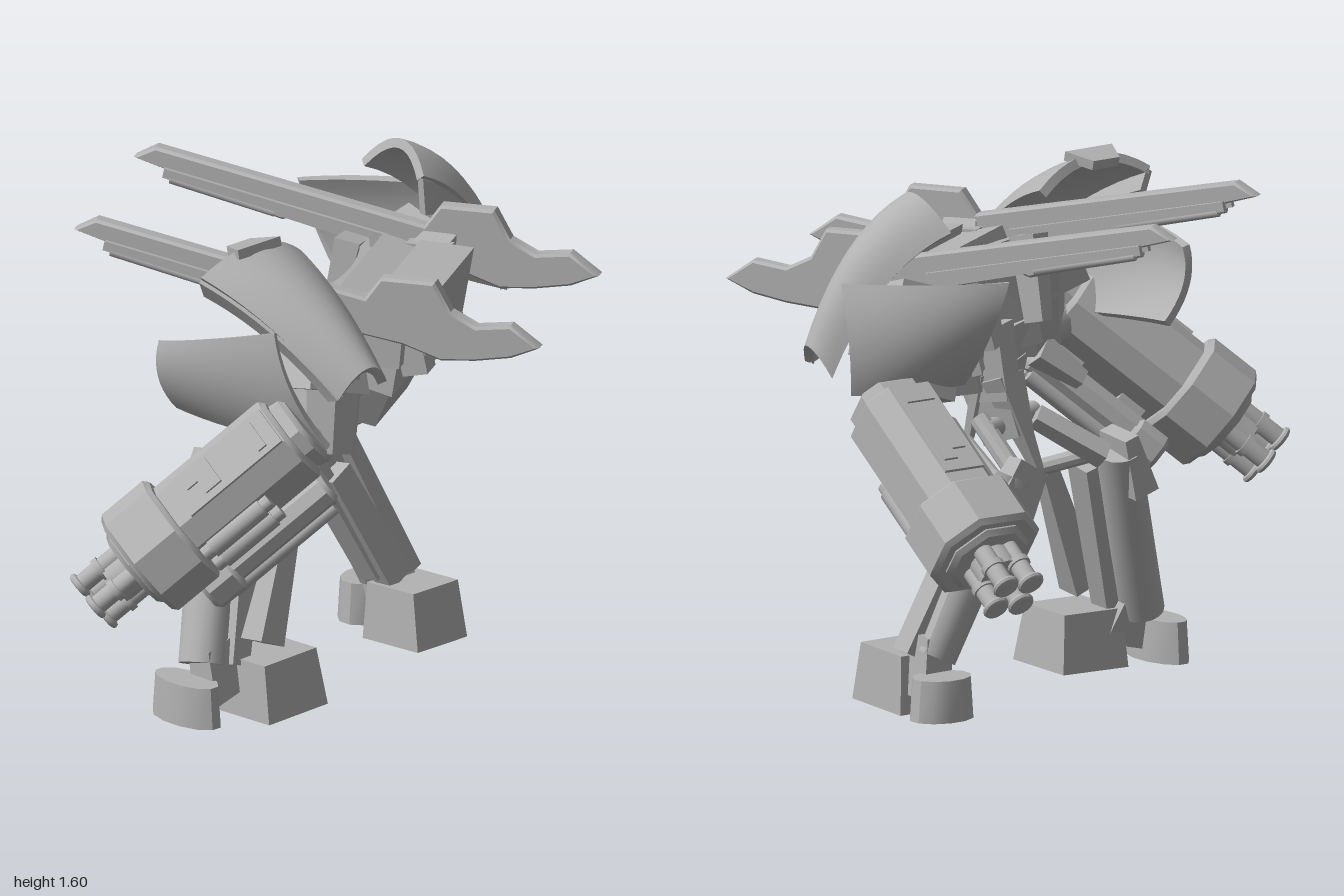
import * as THREE from 'three';
import { toCreasedNormals } from 'three/addons/utils/BufferGeometryUtils.js';

const grey = new THREE.MeshStandardMaterial({ color: 0xb2b2b2 });
grey.name = 'armourGrey';
const V = (a) => new THREE.Vector3(...a);

function add(parent, name, geo, pos = [0, 0, 0], rot = [0, 0, 0]) {
  const m = new THREE.Mesh(toCreasedNormals(geo, 0.6), grey);
  m.name = name;
  m.position.set(...pos);
  m.rotation.set(...rot);
  parent.add(m);
  return m;
}

// matrix whose main axis (y or z) runs along dir, turned towards a hint
function frame(dir, hint, axis, origin) {
  const d = dir.clone().normalize();
  const h = V(hint).addScaledVector(d, -V(hint).dot(d)).normalize();
  const m = axis === 'y'
    ? new THREE.Matrix4().makeBasis(d.clone().cross(h), d, h)
    : new THREE.Matrix4().makeBasis(h.clone().cross(d), h, d);
  return m.setPosition(origin);
}

// tapered prism between two points, sizes are [width, depth along hint]
function limb(parent, name, a, b, s0, s1, sides = 4, hint = [0, 0, 1]) {
  const A = V(a), B = V(b), len = A.distanceTo(B);
  const g = new THREE.CylinderGeometry(1, 1, 1, sides);
  g.rotateY(Math.PI / sides);
  const r = 0.5 / Math.cos(Math.PI / sides), p = g.attributes.position;
  for (let i = 0; i < p.count; i++) {
    const t = p.getY(i) + 0.5;
    p.setXYZ(i, p.getX(i) * r * (s0[0] + (s1[0] - s0[0]) * t), (t - 0.5) * len,
      p.getZ(i) * r * (s0[1] + (s1[1] - s0[1]) * t));
  }
  g.applyMatrix4(frame(B.clone().sub(A), hint, 'y', A.add(B).multiplyScalar(0.5)));
  return add(parent, name, g);
}

// bulged armour plate stretched over four corners, k is the share of the arch along u
function panel(parent, name, corners, bulge, t = 0.025, k = 0.5) {
  const [c00, c10, c01, c11] = corners.map(V), bv = V(bulge);
  const P = (u, v) => c00.clone().lerp(c10, u).lerp(c01.clone().lerp(c11, u), v)
    .addScaledVector(bv, 1 - k * (2 * u - 1) ** 2 - (1 - k) * (2 * v - 1) ** 2);
  const g = new THREE.BoxGeometry(1, 1, 1, 10, 10, 1), p = g.attributes.position;
  for (let i = 0; i < p.count; i++) {
    const u = p.getX(i) + 0.5, v = p.getY(i) + 0.5, e = 0.01;
    const n = P(u + e, v).sub(P(u - e, v)).cross(P(u, v + e).sub(P(u, v - e))).normalize();
    const q = P(u, v).addScaledVector(n, p.getZ(i) * t);
    p.setXYZ(i, q.x, q.y, q.z);
  }
  return add(parent, name, g);
}

// box with cut long edges, running along z
function bevelBox(w, h, c, len) {
  const x = w / 2, y = h / 2;
  const s = new THREE.Shape([[x - c, -y], [x, c - y], [x, y - c], [x - c, y], [c - x, y], [-x, y - c], [-x, c - y], [c - x, -y]]
    .map(([a, b]) => new THREE.Vector2(a, b)));
  return new THREE.ExtrudeGeometry(s, { depth: len - 0.03, bevelThickness: 0.015, bevelSize: 0.015, bevelOffset: -0.015, bevelSegments: 1 })
    .translate(0, 0, 0.015);
}
const box = (w, h, d) => new THREE.BoxGeometry(w, h, d);
const rod = (r, len, n = 16) => new THREE.CylinderGeometry(r, r, len, n).rotateX(Math.PI / 2);

// long wing blade, profile in (distance from tip, height)
function blade(parent, name, x) {
  const pts = [[0, 1.5], [0.07, 1.54], [0.92, 1.37], [0.97, 1.44], [1.14, 1.44], [1.19, 1.35], [1.27, 1.31],
    [1.38, 1.325], [1.47, 1.26], [1.38, 1.22], [1.27, 1.2], [1.16, 1.19], [1.04, 1.23], [0.85, 1.26], [0.5, 1.355], [0.47, 1.345], [0.36, 1.375], [0.34, 1.4]];
  const g = new THREE.Group();
  g.name = name;
  const s = new THREE.Shape(pts.map(([a, b]) => new THREE.Vector2(a, b)));
  const geo = new THREE.ExtrudeGeometry(s, { depth: 0.036, bevelThickness: 0.01, bevelSize: 0.008, bevelOffset: -0.008, bevelSegments: 1 });
  add(g, 'bladePlate', geo.translate(0, 0, -0.018).rotateY(Math.PI / 2));
  for (const e of [-1, 1]) {
    limb(g, 'bladeRail', [e * 0.032, 1.465, -0.1], [e * 0.032, 1.31, -0.8], [0.02, 0.03], [0.02, 0.05]);
    limb(g, 'bladeRod', [e * 0.028, 1.445, -0.12], [e * 0.028, 1.37, -0.45], [0.03, 0.03], [0.03, 0.03], 12);
  }
  g.position.set(x, 0, 0.735);
  parent.add(g);
}

// four-barrelled arm cannon, muzzle along local z; pod and cans are angles around the axis
function cannon(parent, name, rear, tip, hint, pod, cans) {
  const g = new THREE.Group();
  g.name = name;
  const A = V(rear);
  g.applyMatrix4(frame(V(tip).sub(A), hint, 'z', A));
  add(g, 'receiver', bevelBox(0.26, 0.26, 0.06, 0.5));
  add(g, 'rearCap', bevelBox(0.22, 0.2, 0.05, 0.08), [0, 0, -0.05]);
  add(g, 'collar', bevelBox(0.35, 0.32, 0.09, 0.19), [0, 0, 0.43]);
  add(g, 'collarLip', bevelBox(0.27, 0.25, 0.08, 0.04), [0, 0, 0.6]);
  add(g, 'hub', rod(0.07, 0.1), [0, 0, 0.66]);
  for (const x of [-1, 1]) for (const y of [-1, 1]) {
    add(g, 'barrel', rod(0.03, 0.2), [x * 0.046, y * 0.046, 0.7]);
    add(g, 'muzzleRing', new THREE.TorusGeometry(0.032, 0.011, 8, 18), [x * 0.046, y * 0.046, 0.79]);
    add(g, 'barrelBand', rod(0.037, 0.02), [x * 0.046, y * 0.046, 0.71]);
  }
  // top cover details
  add(g, 'topCover', box(0.14, 0.02, 0.36), [0, 0.13, 0.2]);
  add(g, 'coverHatch', box(0.05, 0.012, 0.1), [-0.03, 0.142, 0.29]);
  add(g, 'coverHatch', box(0.05, 0.012, 0.06), [0.02, 0.142, 0.27]);
  add(g, 'coverBar', box(0.1, 0.012, 0.03), [0, 0.142, 0.08]);
  // canisters
  const c = new THREE.Group();
  c.name = 'canisters';
  c.rotation.z = cans;
  for (const y of [-0.06, 0.03]) {
    add(c, 'canister', rod(0.033, 0.2), [0.14, y, 0.3]);
    add(c, 'canisterCap', rod(0.026, 0.26), [0.14, y, 0.3]);
  }
  // launcher pod slung beside the receiver
  const p = new THREE.Group();
  p.name = 'launcherPod';
  p.rotation.z = pod;
  add(p, 'podBody', bevelBox(0.1, 0.18, 0.03, 0.48), [0.2, 0, 0.02]);
  add(p, 'podHead', bevelBox(0.12, 0.21, 0.03, 0.12), [0.21, 0, 0.4]);
  for (const z of [0.12, 0.36]) add(p, 'podBracket', box(0.12, 0.08, 0.09), [0.13, 0, z]);
  for (const y of [-0.05, 0.05]) add(p, 'podTube', rod(0.025, 0.4, 12), [0.26, y, 0.25]);
  g.add(c, p);
  parent.add(g);
}

export function createModel() {
  const model = new THREE.Group();
  model.name = 'walkerRobot';

  // torso, turned to its own heading
  const torso = new THREE.Group();
  torso.name = 'torso';
  torso.position.set(0.11, 0, -0.16);
  torso.rotation.y = -1.05;
  model.add(torso);
  limb(torso, 'belly', [0, 0.91, -0.07], [0, 1.06, -0.1], [0.36, 0.2], [0.52, 0.28]);
  limb(torso, 'chest', [0, 1.06, -0.11], [0, 1.33, -0.18], [0.54, 0.28], [0.5, 0.22]);
  limb(torso, 'backpack', [0, 1.15, -0.27], [0, 1.35, -0.28], [0.42, 0.13], [0.46, 0.17]);
  for (const x of [-0.17, 0, 0.17]) add(torso, 'backTooth', box(0.09, 0.14, 0.08), [x, 1.15, -0.29], [0.2, 0, 0]);
  panel(torso, 'chestPlate', [[-0.25, 1.0, 0.05], [0.25, 1.0, 0.05], [-0.26, 1.33, -0.01], [0.26, 1.33, -0.01]], [0, 0, -0.05], 0.03, 0.9);
  limb(torso, 'chestCore', [-0.1, 0.9, 0.06], [-0.1, 1.13, 0.03], [0.11, 0.1], [0.13, 0.1]);
  for (const s of [-1, 1]) {
    limb(torso, 'collarGuard', [s * 0.19, 1.08, 0.07], [s * 0.23, 1.34, 0.02], [0.08, 0.06], [0.12, 0.08]);
    limb(torso, 'bladeMount', [s * 0.2, 1.27, -0.2], [s * 0.33, 1.32, -0.24], [0.1, 0.12], [0.08, 0.1]);
    limb(torso, 'sideFin', [s * 0.25, 1.12, -0.22], [s * 0.25, 1.34, -0.22], [0.05, 0.1], [0.05, 0.14]);
    limb(torso, 'shoulderAxle', [s * 0.24, 1.2, -0.09], [s * 0.45, 1.2, -0.09], [0.13, 0.13], [0.13, 0.13], 16);
    limb(torso, 'skirtPlate', [s * 0.13, 0.98, 0.02], [s * 0.15, 0.78, -0.02], [0.1, 0.03], [0.04, 0.02]);
    blade(torso, s > 0 ? 'leftBlade' : 'rightBlade', s * 0.334);
  }
  // pelvis
  limb(torso, 'pelvis', [-0.06, 0.95, 0.02], [-0.07, 0.77, 0.08], [0.18, 0.14], [0.12, 0.12]);
  limb(torso, 'frontSkirt', [-0.11, 0.98, 0.06], [-0.05, 0.67, 0.17], [0.12, 0.07], [0.04, 0.02]);
  limb(torso, 'hipAxle', [-0.2, 0.82, 0.06], [0.12, 0.82, 0.08], [0.06, 0.06], [0.06, 0.06], 12);

  // left arm
  const la = new THREE.Group();
  la.name = 'leftArm';
  model.add(la);
  panel(la, 'pauldron', [[0.2, 1.48, 0.51], [0.64, 1.17, 0.35], [0.2, 1.46, 0.1], [0.67, 1.19, 0.2]], [0.03, 0.1, 0], 0.03, 0.3);
  panel(la, 'pauldronRim', [[0.18, 1.42, 0.47], [0.59, 1.15, 0.34], [0.2, 1.48, 0.51], [0.64, 1.17, 0.35]], [0.01, 0.03, 0], 0.025, 1);
  limb(la, 'pauldronLip', [0.17, 1.53, 0.32], [0.26, 1.55, 0.32], [0.1, 0.03], [0.18, 0.03], 4, [0, 1, 0]);
  panel(la, 'armGuard', [[0.06, 1.03, 0.47], [0.59, 1.0, 0.35], [0.07, 1.26, 0.55], [0.46, 1.36, 0.45]], [-0.01, 0.0, 0.07]);
  limb(la, 'upperArm', [0.42, 1.2, 0.2], [0.48, 0.93, 0.27], [0.22, 0.24], [0.18, 0.2], 8);
  limb(la, 'shoulderBlock', [0.4, 1.3, 0.2], [0.44, 1.12, 0.26], [0.16, 0.18], [0.22, 0.25]);
  limb(la, 'elbow', [0.46, 0.97, 0.28], [0.5, 1.0, 0.48], [0.15, 0.15], [0.15, 0.15], 12, [0, 1, 0]);
  limb(la, 'elbowClaw', [0.4, 0.92, 0.24], [0.34, 0.82, 0.36], [0.07, 0.09], [0.04, 0.05]);
  cannon(la, 'leftCannon', [0.52, 1.04, 0.435], [0.18, 0.56, 0.915], [0.33, 0.75, 0.6], -1.1, 0);

  // right arm
  const ra = new THREE.Group();
  ra.name = 'rightArm';
  model.add(ra);
  panel(ra, 'pauldron', [[0.1, 1.52, -0.52], [0.12, 1.08, -0.86], [-0.18, 1.49, -0.55], [-0.02, 1.06, -0.88]], [-0.01, 0.14, -0.07], 0.03, 0.45);
  panel(ra, 'pauldronRim', [[0.1, 1.4, -0.53], [0.1, 1.15, -0.7], [0.1, 1.52, -0.52], [0.12, 1.08, -0.86]], [0, 0.06, -0.03], 0.025, 1);
  panel(ra, 'armGuard', [[-0.09, 1.02, -0.86], [-0.27, 1.05, -0.57], [-0.07, 1.36, -0.88], [-0.43, 1.38, -0.52]], [-0.07, 0, -0.03]);
  limb(ra, 'upperArm', [-0.05, 1.2, -0.62], [-0.1, 0.88, -0.68], [0.2, 0.28], [0.2, 0.24], 8);
  limb(ra, 'shoulderBlock', [-0.02, 1.3, -0.58], [-0.08, 1.1, -0.65], [0.18, 0.18], [0.22, 0.27]);
  limb(ra, 'shoulderKnuckle', [-0.05, 1.1, -0.46], [-0.05, 1.25, -0.46], [0.14, 0.14], [0.14, 0.14], 8);
  limb(ra, 'armStay', [-0.16, 1.28, -0.56], [-0.23, 1.0, -0.66], [0.12, 0.1], [0.1, 0.1]);
  limb(ra, 'elbow', [-0.08, 0.93, -0.68], [-0.24, 0.95, -0.8], [0.16, 0.16], [0.16, 0.16], 12, [0, 1, 0]);
  limb(ra, 'elbowClaw', [-0.14, 0.88, -0.6], [-0.2, 0.76, -0.58], [0.07, 0.09], [0.05, 0.05]);
  cannon(ra, 'rightCannon', [-0.22, 0.98, -0.81], [-0.86, 0.53, -0.84], [0, 1, 0], -0.54, -1.57);

  // left leg
  const ll = new THREE.Group();
  ll.name = 'leftLeg';
  model.add(ll);
  limb(ll, 'thighStrut', [0.03, 0.82, -0.06], [-0.08, 0.69, 0.12], [0.05, 0.06], [0.06, 0.06]);
  limb(ll, 'thighStrut', [0.08, 0.64, -0.05], [-0.05, 0.7, 0.14], [0.05, 0.05], [0.05, 0.05], 10);
  limb(ll, 'kneeGuard', [-0.1, 0.76, 0.16], [-0.08, 0.58, 0.22], [0.13, 0.05], [0.17, 0.09]);
  limb(ll, 'shin', [-0.09, 0.71, 0.16], [0.05, 0.16, 0.36], [0.16, 0.13], [0.15, 0.14], 16);
  limb(ll, 'calfBone', [0.0, 0.66, 0.12], [0.1, 0.15, 0.28], [0.1, 0.09], [0.08, 0.07]);
  limb(ll, 'calfPlate', [0.13, 0.62, 0.06], [0.18, 0.23, 0.23], [0.05, 0.06], [0.09, 0.1]);
  limb(ll, 'ankle', [0.06, 0.22, 0.34], [0.09, 0.06, 0.3], [0.09, 0.1], [0.1, 0.18]);
  limb(ll, 'heel', [0.145, 0, 0.165], [0.14, 0.18, 0.17], [0.25, 0.25], [0.2, 0.22]);
  limb(ll, 'toe', [0.05, 0, 0.425], [0.05, 0.13, 0.425], [0.26, 0.13], [0.24, 0.12], 12);

  // right leg
  const rl = new THREE.Group();
  rl.name = 'rightLeg';
  model.add(rl);
  limb(rl, 'thighStrut', [0.0, 0.85, -0.3], [-0.16, 0.7, -0.28], [0.06, 0.06], [0.06, 0.06], 10);
  limb(rl, 'thighStrut', [0.02, 0.78, -0.34], [-0.18, 0.66, -0.34], [0.05, 0.05], [0.05, 0.05], 10);
  limb(rl, 'kneeGuard', [-0.22, 0.74, -0.28], [-0.22, 0.55, -0.4], [0.06, 0.12], [0.1, 0.16]);
  limb(rl, 'shin', [-0.2, 0.71, -0.33], [-0.15, 0.17, -0.58], [0.12, 0.16], [0.1, 0.13], 12);
  limb(rl, 'calfPlate', [-0.15, 0.66, -0.25], [-0.08, 0.2, -0.5], [0.09, 0.05], [0.08, 0.06]);
  limb(rl, 'calfPlate', [-0.14, 0.68, -0.4], [-0.08, 0.18, -0.64], [0.08, 0.05], [0.07, 0.06]);
  limb(rl, 'calfBone', [-0.1, 0.56, -0.35], [-0.04, 0.18, -0.55], [0.06, 0.09], [0.06, 0.1]);
  limb(rl, 'ankle', [-0.12, 0.24, -0.58], [-0.09, 0.05, -0.6], [0.1, 0.1], [0.18, 0.1]);
  limb(rl, 'heel', [0.02, 0, -0.575], [0.01, 0.18, -0.575], [0.24, 0.21], [0.2, 0.19]);
  limb(rl, 'toe', [-0.22, 0, -0.615], [-0.22, 0.13, -0.615], [0.16, 0.21], [0.15, 0.19], 12);

  return model;
}
